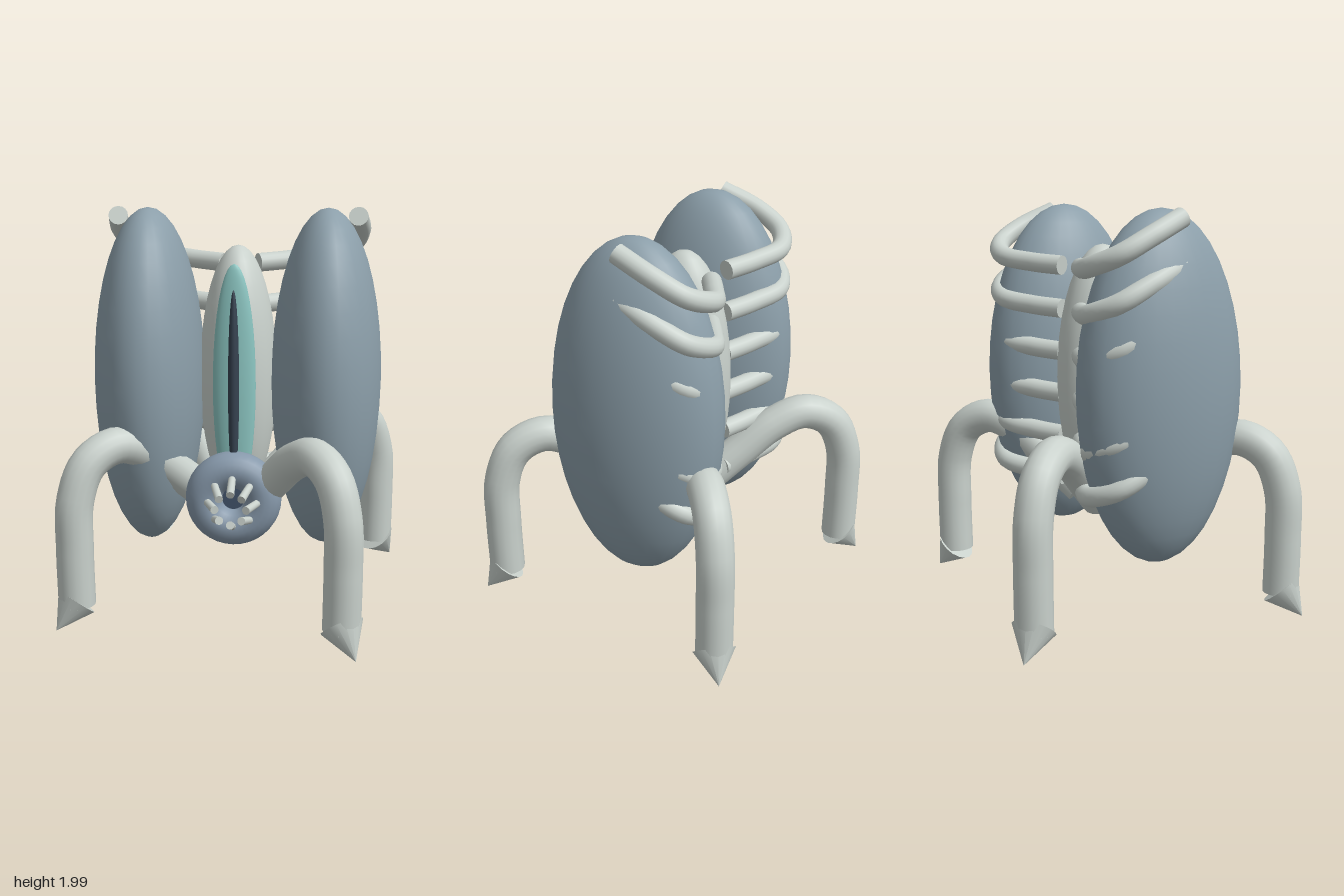
import * as THREE from 'three';

function material(name, color) {
  const m = new THREE.MeshStandardMaterial({ color });
  m.name = name;
  return m;
}

export function createModel() {
  const model = new THREE.Group();
  model.name = 'walker';

  const shell = material('blue grey shell', 0x8c9faa);
  const pale = material('pale grey', 0xc9d1cc);
  const teal = material('teal', 0x8cc6c2);
  const slitDark = material('dark slit', 0x364250);
  const ring = material('ring blue grey', 0x8799ab);
  const mouthDark = material('dark mouth', 0x42536a);

  const add = (parent, name, geometry, mat) => {
    const mesh = new THREE.Mesh(geometry, mat);
    mesh.name = name;
    parent.add(mesh);
    return mesh;
  };
  const ellipsoid = (name, mat, pos, radii) => {
    const geometry = new THREE.SphereGeometry(1, 28, 20);
    geometry.scale(...radii);
    add(model, name, geometry, mat).position.set(...pos);
  };

  // Round tube along points, closed by a disc at each end
  const cappedTube = (parent, name, points, radius, segments) => {
    const group = new THREE.Group();
    group.name = name;
    parent.add(group);
    const curve = new THREE.CatmullRomCurve3(points.map(p => new THREE.Vector3(...p)));
    add(group, name + 'Tube', new THREE.TubeGeometry(curve, segments, radius, 16), pale);
    for (const t of [0, 1]) {
      const cap = add(group, name + 'Cap', new THREE.CircleGeometry(radius, 16), pale);
      const out = curve.getTangent(t).multiplyScalar(t ? 1 : -1);
      cap.position.copy(curve.getPoint(t));
      cap.quaternion.setFromUnitVectors(new THREE.Vector3(0, 0, 1), out);
    }
    return group;
  };

  // Tapered rod between two points
  const rod = (parent, name, from, to, r0, r1, mat) => {
    const a = new THREE.Vector3(...from);
    const dir = new THREE.Vector3(...to).sub(a);
    const mesh = add(parent, name, new THREE.CylinderGeometry(r1, r0, dir.length(), 16), mat);
    mesh.position.copy(a).addScaledVector(dir, 0.5);
    mesh.quaternion.setFromUnitVectors(new THREE.Vector3(0, 1, 0), dir.normalize());
  };

  // Body: two tall lobes and a core, with a teal eye and its slit
  for (const s of [-1, 1]) {
    ellipsoid(s > 0 ? 'leftLobe' : 'rightLobe', shell, [s * 0.445, 1.14, 0], [0.275, 0.85, 0.435]);
  }
  ellipsoid('core', pale, [0, 1.145, -0.04], [0.195, 0.66, 0.24]);
  ellipsoid('eye', teal, [0, 1.14, 0.22], [0.105, 0.595, 0.046]);
  ellipsoid('eyeSlit', slitDark, [0, 1.14, 0.265], [0.027, 0.475, 0.032]);

  // Round mouth with a ring of teeth leaning inward
  const mouth = new THREE.Group();
  mouth.name = 'mouth';
  mouth.position.set(0, 0.59, 0.275);
  model.add(mouth);
  add(mouth, 'mouthRing', new THREE.TorusGeometry(0.145, 0.092, 18, 36), ring);
  rod(mouth, 'mouthInside', [0, 0, -0.07], [0, 0, 0.01], 0.13, 0.13, mouthDark);
  for (let i = 0; i < 8; i++) {
    const a = (i / 8) * Math.PI * 2;
    const c = Math.cos(a), s = Math.sin(a);
    rod(mouth, 'tooth', [c * 0.13, s * 0.13, 0.06], [c * 0.075, s * 0.075, 0.2], 0.018, 0.02, pale);
  }

  // Six pairs of ribs curling from the core around the lobes
  const ribPath = [
    [0.09, 1.70, -0.22], [0.25, 1.71, -0.30], [0.43, 1.735, -0.37],
    [0.57, 1.79, -0.31], [0.61, 1.87, -0.17], [0.59, 1.95, 0.015],
  ];
  for (let i = 0; i < 6; i++) {
    for (const s of [-1, 1]) {
      const path = ribPath.map(([x, y, z]) => [s * x, y - i * 0.214, z]);
      cappedTube(model, s > 0 ? 'leftRib' : 'rightRib', path, 0.048, 32);
    }
  }

  // Four arched legs with pointed feet, turned in quarter steps
  const legPath = [
    [0.16, 0.54, 0], [0.33, 0.68, 0], [0.51, 0.82, 0], [0.68, 0.88, 0], [0.83, 0.81, 0],
    [0.905, 0.64, 0], [0.915, 0.4, 0], [0.912, 0.12, 0],
  ];
  for (let i = 0; i < 4; i++) {
    const leg = cappedTube(model, 'leg', legPath, 0.09, 40);
    rod(leg, 'foot', [0.915, 0.135, 0], [1.025, 0.003, 0], 0.105, 0, pale);
    leg.rotation.y = -Math.atan2(0.81, 0.585) + (i * Math.PI) / 2;
  }

  return model;
}
